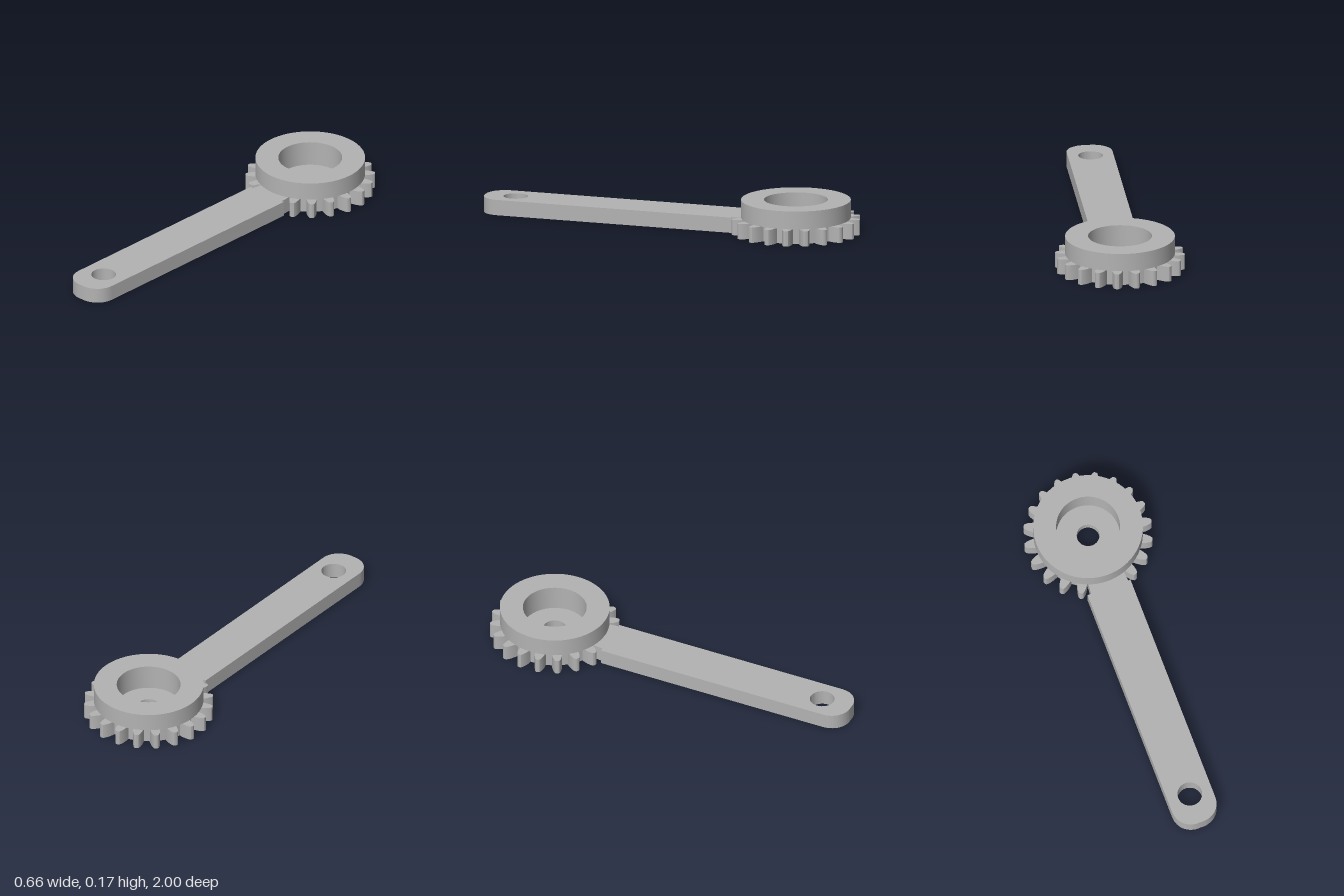
import * as THREE from 'three';
import { toCreasedNormals } from 'three/addons/utils/BufferGeometryUtils.js';

const THICK = 0.08;        // plate thickness
const GEAR_Z = -0.675;     // gear axis
const TEETH = 20;

function circleHole(x, y, r) {
  return new THREE.Path().absarc(x, y, r, 0, Math.PI * 2, true);
}

// Gear and arm share one outline; shape y is -z of the model.
function bodyShape() {
  const s = new THREE.Shape();
  // right edge of the arm, from the rounded end to the neck
  s.moveTo(0.0, -0.997);
  s.bezierCurveTo(0.06, -0.99, 0.098, -0.95, 0.098, -0.89);
  s.lineTo(0.112, 0.355);
  s.lineTo(0.112, 0.365);
  s.lineTo(0.1, 0.36);
  // teeth, leaving out the two that merge with the arm
  const flank = [[0.262, 0.026], [0.28, 0.0255], [0.3, 0.0225], [0.318, 0.017], [0.328, 0.011], [0.331, 0.004]];
  const point = (r, a) => s.lineTo(r * Math.sin(a), -GEAR_Z + r * Math.cos(a));
  for (let i = 0; i < TEETH - 2; i++) {
    const a = (TEETH / 2 - 1.5 - i) * (Math.PI * 2 / TEETH);
    flank.forEach(([r, w]) => point(r, a + w / r));
    [...flank].reverse().forEach(([r, w]) => point(r, a - w / r));
    if (i < TEETH - 3) point(0.262, a - Math.PI / TEETH);
  }
  // left edge of the arm, back to the rounded end
  s.lineTo(-0.103, 0.36);
  s.lineTo(-0.122, 0.36);
  s.lineTo(-0.137, -0.89);
  s.bezierCurveTo(-0.137, -0.95, -0.1, -0.99, -0.045, -0.997);
  s.closePath();
  s.holes.push(circleHole(0, -GEAR_Z, 0.17), circleHole(-0.018, -0.834, 0.063));
  return s;
}

export function createModel() {
  const group = new THREE.Group();
  const metal = new THREE.MeshStandardMaterial({ color: 0xb3b3b3 });
  metal.name = 'grey metal';

  const add = (name, geometry) => {
    const mesh = new THREE.Mesh(toCreasedNormals(geometry, 0.6), metal);
    mesh.name = name;
    group.add(mesh);
    return mesh;
  };

  // flat gear with its lever arm
  const body = new THREE.ExtrudeGeometry(bodyShape(), { depth: THICK, bevelEnabled: false, curveSegments: 32 });
  body.rotateX(-Math.PI / 2);
  add('gearAndArm', body);

  // raised collar, recessed floor and axle hole
  const profile = [
    [0.25, THICK], [0.28, THICK], [0.28, 0.173], [0.163, 0.173],
    [0.163, 0.043], [0.058, 0.043], [0.058, 0], [0.171, 0],
  ].map(([r, y]) => new THREE.Vector2(r, y));
  add('collarAndHub', new THREE.LatheGeometry(profile, 72)).position.z = GEAR_Z;

  return group;
}
